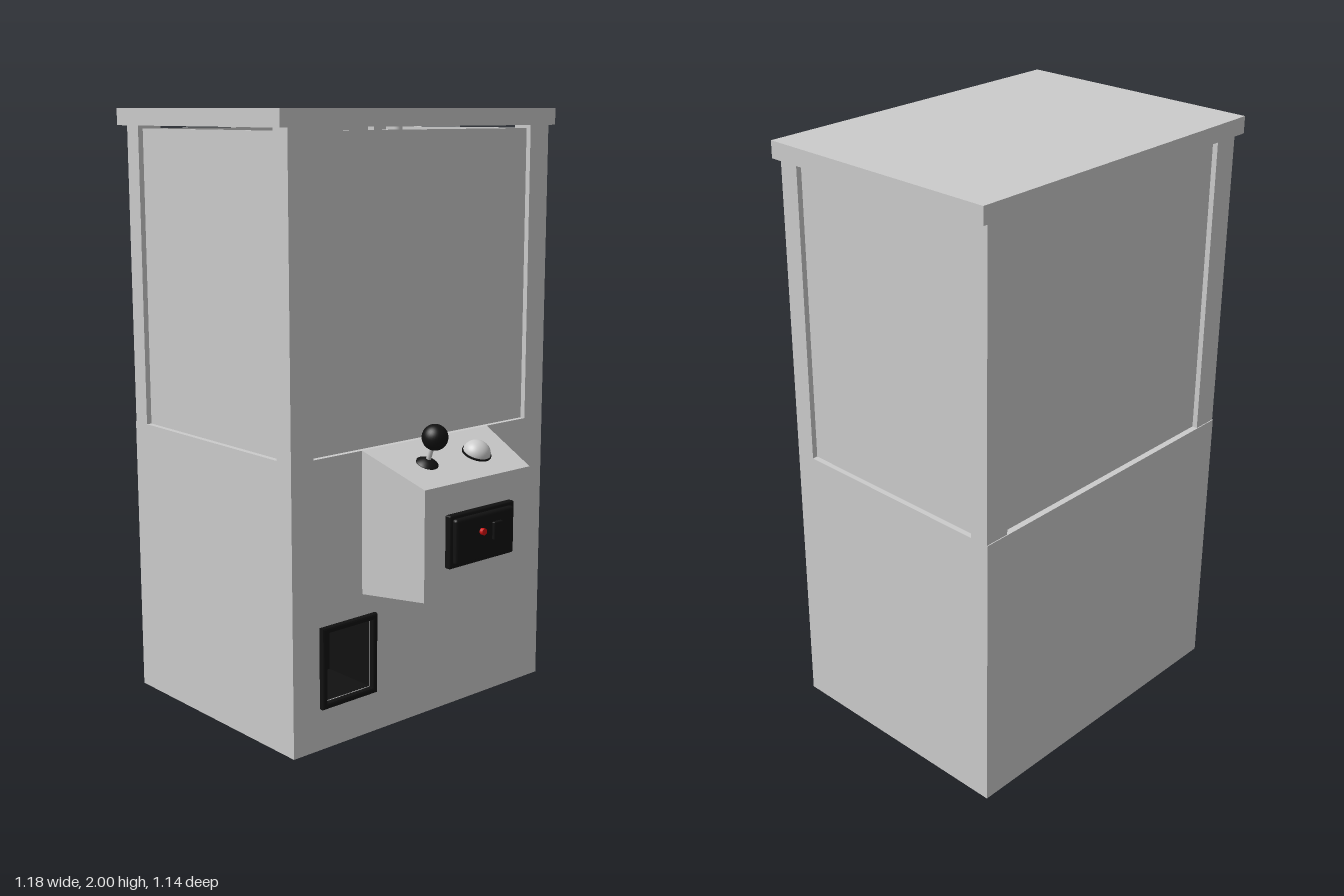
import * as THREE from 'three';
import { RoundedBoxGeometry } from 'three/addons/geometries/RoundedBoxGeometry.js';

const mat = (color, extra = {}) => new THREE.MeshStandardMaterial({ color, ...extra });
const grey = mat(0xcccccc);
const pane = mat(0xf0f0f0);
const black = mat(0x111111);
const liner = mat(0x111111, { side: THREE.BackSide });
const red = mat(0xcc1111);
const white = mat(0xf0f0f0);

function add(parent, name, geometry, material, x = 0, y = 0, z = 0) {
  const mesh = new THREE.Mesh(geometry, material);
  mesh.name = name;
  mesh.position.set(x, y, z);
  parent.add(mesh);
  return mesh;
}

// Box given by its two extreme corners
function span(parent, name, material, [x0, y0, z0], [x1, y1, z1]) {
  const g = new THREE.BoxGeometry(x1 - x0, y1 - y0, z1 - z0);
  return add(parent, name, g, material, (x0 + x1) / 2, (y0 + y1) / 2, (z0 + z1) / 2);
}

function rectPath(P, x0, y0, x1, y1) {
  const p = new P();
  p.moveTo(x0, y0);
  p.lineTo(x1, y0);
  p.lineTo(x1, y1);
  p.lineTo(x0, y1);
  p.closePath();
  return p;
}

// Rectangular plate with a rectangular opening, extruded toward +z
function plateWithHole(outer, hole, depth, bevel = 0) {
  const shape = rectPath(THREE.Shape, ...outer);
  shape.holes.push(rectPath(THREE.Path, ...hole));
  return new THREE.ExtrudeGeometry(shape, {
    depth, bevelEnabled: bevel > 0, bevelSize: bevel, bevelThickness: bevel, bevelOffset: -bevel, bevelSegments: 2,
  });
}

const HALF = 0.56, FRONT = 0.285, BACK = -0.563, DECK = 0.95, DEPTH = 0.2;
const OPENING = [-0.435, 0.16, -0.245, 0.39];

function cabinet(root) {
  // Base, with the prize opening cut into its front half
  span(root, 'baseRear', grey, [-HALF, 0, BACK], [HALF, DECK, FRONT - DEPTH]);
  add(root, 'baseFront', plateWithHole([-HALF, 0, HALF, DECK], OPENING, DEPTH), grey, 0, 0, FRONT - DEPTH);

  // Corner posts
  for (const s of [-1, 1]) {
    for (const [z0, z1] of [[0.215, FRONT], [-0.56, -0.495]]) {
      const a = s * 0.472, b = s * HALF;
      span(root, 'cornerPost', grey, [Math.min(a, b), DECK, z0], [Math.max(a, b), 1.945, z1]);
    }
  }

  // Window panes, set slightly back from the posts
  const top = 1.935, inset = 0.018, t = 0.012;
  span(root, 'frontWindow', pane, [-0.472, DECK, FRONT - inset - t], [0.472, top, FRONT - inset]);
  span(root, 'backWindow', pane, [-0.472, DECK, -0.56 + inset], [0.472, top, -0.56 + inset + t]);
  for (const s of [-1, 1]) {
    const x = s * (HALF - inset - t / 2);
    span(root, 'sideWindow', pane, [x - t / 2, DECK, -0.495], [x + t / 2, top, 0.215]);
  }

  span(root, 'roof', grey, [-0.59, 1.945, -0.573], [0.59, 2, 0.288]);
}

function prizeChute(root) {
  const frame = plateWithHole([-0.455, 0.14, -0.225, 0.41], OPENING, 0.01, 0.006);
  add(root, 'chuteFrame', frame, black, 0, 0, FRONT + 0.004);
  const [x0, y0, x1, y1] = OPENING;
  const e = 0.002;
  span(root, 'chuteLiner', liner, [x0 + e, y0 + e, FRONT - DEPTH + e], [x1 - e, y1 - e, FRONT + 0.3])
    .geometry = openBox(x1 - x0 - 2 * e, y1 - y0 - 2 * e, DEPTH);
  root.getObjectByName('chuteLiner').position.z = FRONT - DEPTH / 2 + e;
}

// Box without its front (+z) face
function openBox(w, h, d) {
  const g = new THREE.BoxGeometry(w, h, d);
  const index = Array.from(g.index.array);
  index.splice(24, 6);
  g.setIndex(index);
  g.clearGroups();
  return g;
}

// Console box that tapers toward the front
function consoleGeometry() {
  const g = new THREE.BoxGeometry(1, 1, 1);
  const p = g.attributes.position;
  for (let i = 0; i < p.count; i++) {
    const front = p.getZ(i) > 0, up = p.getY(i) > 0, side = Math.sign(p.getX(i));
    p.setXYZ(i,
      0.005 + side * (front ? 0.235 : 0.28),
      up ? (front ? 0.86 : 0.95) : (front ? 0.5 : 0.48),
      front ? 0.523 : FRONT);
  }
  g.computeVertexNormals();
  return g;
}

function controls(root) {
  add(root, 'console', consoleGeometry(), grey);
  const tilt = Math.atan2(0.09, 0.238);

  // Joystick standing square to the sloping top
  const stick = new THREE.Group();
  stick.name = 'joystick';
  stick.position.set(-0.11, 0.904, 0.407);
  stick.rotation.x = tilt;
  root.add(stick);
  const boot = [[0, 0.018], [0.012, 0.018], [0.024, 0.012], [0.036, 0.004], [0.037, -0.004]];
  const profile = boot.map(([r, y]) => new THREE.Vector2(r, y)).reverse();
  add(stick, 'joystickBoot', new THREE.LatheGeometry(profile, 32), black);
  add(stick, 'joystickShaft', new THREE.CylinderGeometry(0.008, 0.008, 0.09, 16), grey, 0, 0.045, 0);
  add(stick, 'joystickBall', new THREE.SphereGeometry(0.042, 32, 20), black, 0, 0.097, 0);

  // Domed push button
  const button = new THREE.Group();
  button.name = 'pushButton';
  button.position.set(0.108, 0.903, 0.41);
  button.rotation.x = tilt;
  root.add(button);
  add(button, 'buttonRing', new THREE.CylinderGeometry(0.049, 0.049, 0.008, 40), black, 0, 0.002, 0);
  const dome = new THREE.SphereGeometry(0.046, 32, 12, 0, Math.PI * 2, 0, Math.PI / 2);
  dome.scale(1, 0.9, 1);
  add(button, 'buttonDome', dome, white, 0, 0.004, 0);

  // Coin panel
  add(root, 'coinPlate', new RoundedBoxGeometry(0.288, 0.172, 0.024, 2, 0.005), black, 0.003, 0.68, 0.532);
  add(root, 'coinPanel', new RoundedBoxGeometry(0.262, 0.148, 0.026, 3, 0.01), black, 0.003, 0.68, 0.546);
  const lamp = add(root, 'coinLamp', new THREE.CylinderGeometry(0.011, 0.011, 0.014, 20), red, -0.015, 0.698, 0.564);
  lamp.rotation.x = Math.PI / 2;
  add(root, 'coinSlot', new RoundedBoxGeometry(0.04, 0.06, 0.014, 2, 0.004), black, 0.052, 0.69, 0.561);
}

// Hanging claw inside the cabinet
function claw(root) {
  const g = new THREE.Group();
  g.name = 'claw';
  g.position.set(0.28, 0, -0.16);
  root.add(g);
  add(g, 'clawMount', new THREE.CylinderGeometry(0.018, 0.018, 0.03, 20), grey, 0, 1.932, 0);
  add(g, 'clawCable', new THREE.CylinderGeometry(0.006, 0.006, 0.2, 10), grey, 0, 1.82, 0);
  add(g, 'clawHub', new THREE.CylinderGeometry(0.035, 0.045, 0.07, 24), grey, 0, 1.69, 0);
  const curve = new THREE.CatmullRomCurve3([[0.03, 1.67], [0.1, 1.63], [0.1, 1.56], [0.04, 1.5]]
    .map(([x, y]) => new THREE.Vector3(x, y, 0)));
  for (let i = 0; i < 3; i++) {
    add(g, 'clawFinger', new THREE.TubeGeometry(curve, 16, 0.008, 8), grey).rotation.y = i * Math.PI * 2 / 3;
  }
}

export function createModel() {
  const root = new THREE.Group();
  root.name = 'clawMachine';
  cabinet(root);
  prizeChute(root);
  controls(root);
  claw(root);
  return root;
}
